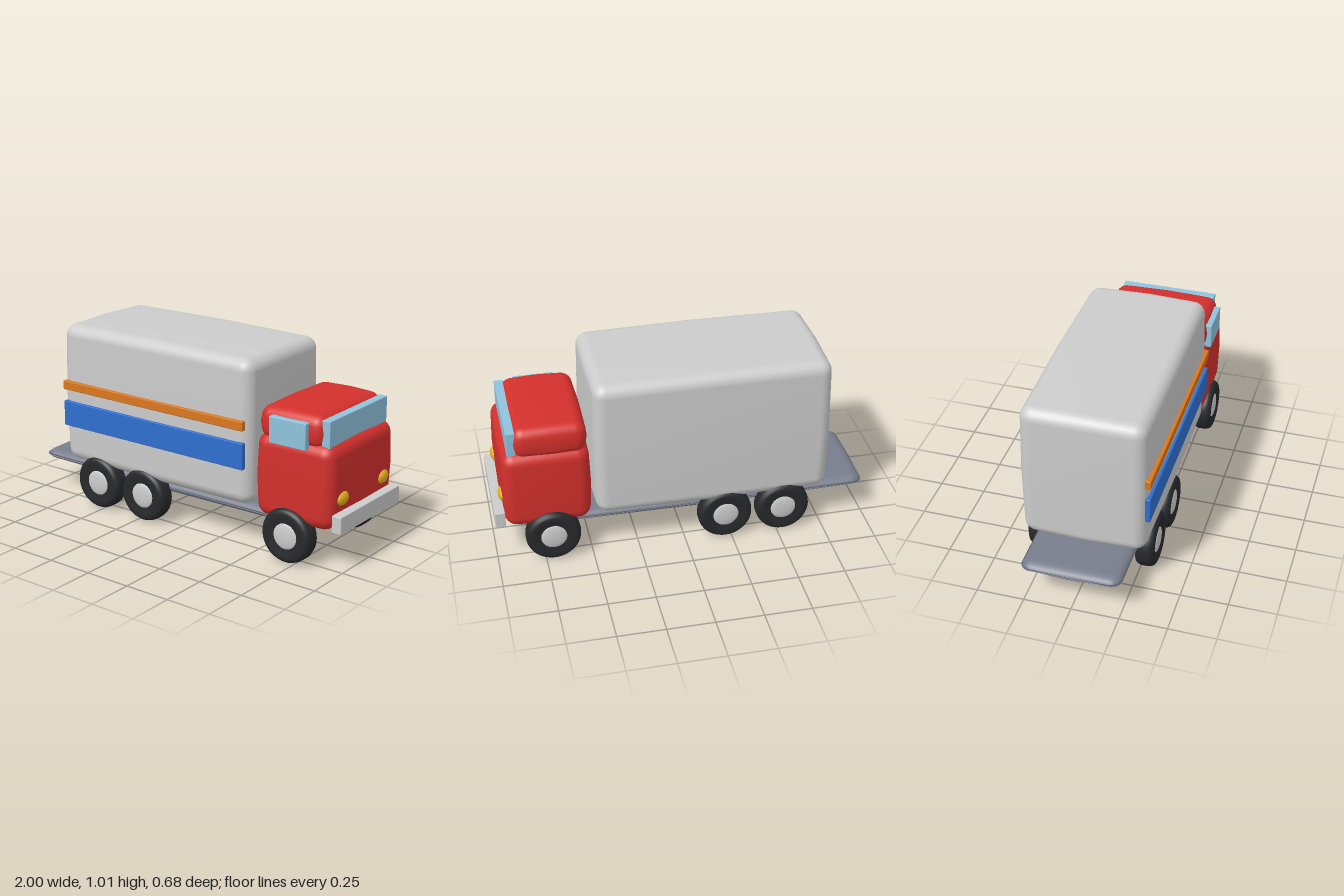
import * as THREE from 'three';
import { mergeVertices } from 'three/addons/utils/BufferGeometryUtils.js';

const paint = (color) => new THREE.MeshStandardMaterial({ color });
const red = paint(0xd3302c), grey = paint(0xcccccc), steel = paint(0x787d8c), rubber = paint(0x26282b);
const glass = paint(0x8fc3dc), blue = paint(0x2f6fcf), orange = paint(0xd9781f), yellow = paint(0xe0b020);

// Rounded box from min to max, with a corner radius per axis and faces that swell towards their middle
function softBox(name, material, min, max, radius, bulge = 0) {
  const r = Array.isArray(radius) ? radius : [radius, radius, radius];
  const half = min.map((a, i) => (max[i] - a) / 2);
  let geometry = new THREE.BoxGeometry(2, 2, 2, 10, 10, 10);
  geometry.deleteAttribute('uv');
  geometry.deleteAttribute('normal');
  geometry = mergeVertices(geometry, 1e-4);
  const pos = geometry.attributes.position;
  for (let i = 0; i < pos.count; i++) {
    const u = [pos.getX(i), pos.getY(i), pos.getZ(i)];
    // flat: 0 at the middle of a face, 1 where the rounding starts
    const flat = u.map((c) => Math.min(1, Math.abs(c) / 0.2));
    const arc = u.map((c) => Math.tan(Math.max(0, (Math.abs(c) - 0.2) / 0.8) * Math.PI / 4));
    const len = Math.hypot(...arc);
    const p = u.map((c, k) => {
      const swell = bulge * flat[k] * (flat[(k + 1) % 3] + flat[(k + 2) % 3]) / 2;
      return Math.sign(c) * ((half[k] - r[k]) * flat[k] + r[k] * arc[k] / len - swell);
    });
    pos.setXYZ(i, ...p);
  }
  geometry.computeVertexNormals();
  const mesh = new THREE.Mesh(geometry, material);
  mesh.name = name;
  mesh.position.set(...min.map((a, i) => (a + max[i]) / 2));
  return mesh;
}

function ellipsoid(name, material, center, radii) {
  const mesh = new THREE.Mesh(new THREE.SphereGeometry(1, 28, 18), material);
  mesh.name = name;
  mesh.position.set(...center);
  mesh.scale.set(...radii);
  return mesh;
}

// Tyre with softened shoulders and a domed hub on the outer side
const tyreProfile = [
  [0, -0.04], [0.07, -0.041], [0.095, -0.049], [0.12, -0.05], [0.133, -0.044], [0.141, -0.033], [0.145, -0.018],
  [0.145, 0.018], [0.141, 0.033], [0.133, 0.044], [0.12, 0.05], [0.095, 0.049], [0.07, 0.041], [0, 0.04],
].map(([x, y]) => new THREE.Vector2(x, y));
const tyreGeometry = new THREE.LatheGeometry(tyreProfile, 40).rotateX(Math.PI / 2);

function wheel(name, x, z) {
  const group = new THREE.Group();
  group.name = name;
  const tyre = new THREE.Mesh(tyreGeometry, rubber);
  tyre.name = 'tyre';
  group.add(tyre, ellipsoid('hub', grey, [0, 0, Math.sign(z) * 0.038], [0.07, 0.07, 0.014]));
  group.position.set(x, 0.145, z);
  return group;
}

export function createModel() {
  const truck = new THREE.Group();
  truck.name = 'truck';

  // Chassis and cargo body
  truck.add(
    softBox('chassis', steel, [-1, 0.162, -0.275], [0.83, 0.236, 0.258], [0.06, 0.035, 0.055], 0.008),
    softBox('cargoBody', grey, [-0.78, 0.225, -0.338], [0.482, 1.012, 0.326], 0.065, 0.01),
  );

  // Stripes on the near side of the cargo body
  truck.add(
    softBox('orangeStripe', orange, [-0.75, 0.645, 0.31], [0.45, 0.695, 0.34], 0.005),
    softBox('blueStripe', blue, [-0.75, 0.44, 0.31], [0.45, 0.58, 0.338], 0.005),
  );

  // Cab
  truck.add(
    softBox('cabBody', red, [0.485, 0.195, -0.317], [0.957, 0.655, 0.31], 0.065, 0.01),
    softBox('cabRoof', red, [0.498, 0.605, -0.302], [0.892, 0.792, 0.296], 0.06, 0.007),
    softBox('windshield', glass, [0.868, 0.63, -0.27], [0.915, 0.77, 0.264], 0.004),
    softBox('sideWindow', glass, [0.595, 0.615, 0.28], [0.81, 0.752, 0.318], 0.004),
    softBox('bumper', grey, [0.946, 0.21, -0.284], [1, 0.302, 0.278], 0.005),
  );

  // Headlights
  for (const side of [-1, 1]) {
    truck.add(ellipsoid('headlight', yellow, [0.945, 0.365, side * 0.19 - 0.004], [0.025, 0.037, 0.05]));
  }

  // Wheels: one front axle and two rear axles
  const axles = { frontWheel: 0.705, middleWheel: -0.215, rearWheel: -0.53 };
  for (const [name, x] of Object.entries(axles)) {
    for (const side of [-1, 1]) truck.add(wheel(name, x, side * 0.286 - 0.004));
  }
  return truck;
}
